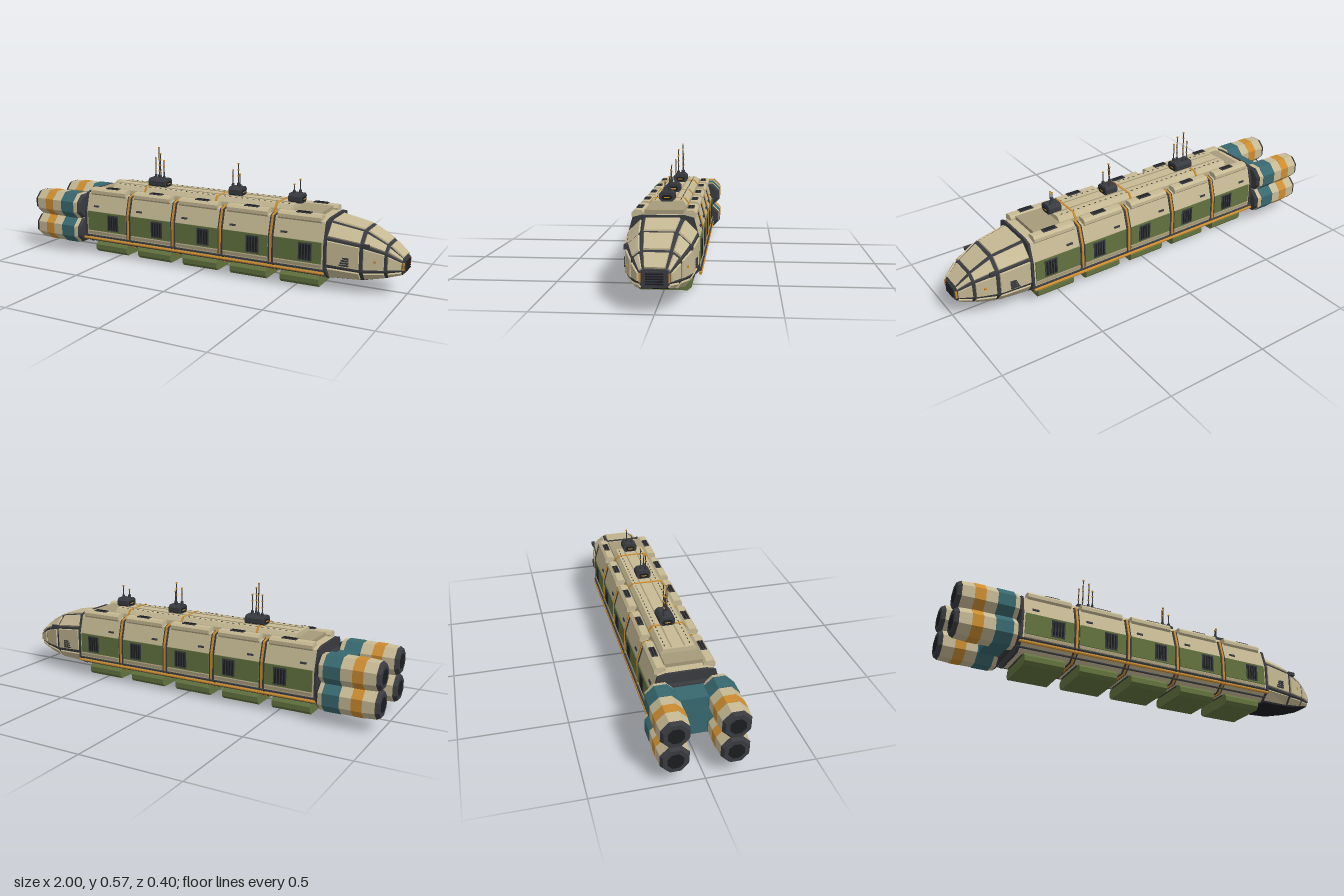
import * as THREE from 'three';

const mat = (color) => new THREE.MeshStandardMaterial({ color, flatShading: true });
const CREAM = mat(0xc6b994), TAN = mat(0xa69a7a), GREEN = mat(0x62723f), DARK = mat(0x393b40),
  BLACK = mat(0x1c1d20), ORANGE = mat(0xcc8c30), TEAL = mat(0x386870);

function add(parent, name, geometry, material, x = 0, y = 0, z = 0) {
  const mesh = new THREE.Mesh(geometry, material);
  mesh.name = name;
  mesh.position.set(x, y, z);
  parent.add(mesh);
  return mesh;
}
const box = (p, name, m, sx, sy, sz, x, y, z) => add(p, name, new THREE.BoxGeometry(sx, sy, sz), m, x, y, z);

function group(parent, name) {
  const g = new THREE.Group();
  g.name = name;
  parent.add(g);
  return g;
}

// Extrude a (z, y) outline along x from x0 to x1
function prism(p, name, m, pts, x0, x1, z = 0) {
  const shape = new THREE.Shape(pts.map(([a, b]) => new THREE.Vector2(-a, b)));
  const geo = new THREE.ExtrudeGeometry(shape, { depth: x1 - x0, bevelEnabled: false });
  geo.rotateY(Math.PI / 2);
  return add(p, name, geo, m, x0, 0, z);
}
// Mirror a half outline, listed bottom to top, across z = 0
const mirror = (half) => [...half, ...half.map(([z, y]) => [-z, y]).reverse()];
const grow = (pts, s, cy) => pts.map(([z, y]) => [z * s, cy + (y - cy) * s]);
// Box outline with cut corners
const chamfer = (w, y0, y1, c) => mirror([[w - c, y0], [w, y0 + c], [w, y1 - c], [w - c, y1]]);

function meshFromQuads(quads) {
  const pos = [];
  for (const [a, b, c, d] of quads) for (const v of [a, b, c, a, c, d]) pos.push(v.x, v.y, v.z);
  const geo = new THREE.BufferGeometry();
  geo.setAttribute('position', new THREE.Float32BufferAttribute(pos, 3));
  geo.computeVertexNormals();
  return geo;
}

// Raised plate sitting inside a quad
function plate([a, b, c, d], margin, thick) {
  const normal = b.clone().sub(a).cross(d.clone().sub(a)).normalize();
  const inset = (m, h) => {
    const u = Math.min(0.35, m / ((a.distanceTo(b) + c.distanceTo(d)) / 2));
    const v = Math.min(0.35, m / ((a.distanceTo(d) + b.distanceTo(c)) / 2));
    return [[u, v], [1 - u, v], [1 - u, 1 - v], [u, 1 - v]].map(([s, t]) =>
      a.clone().lerp(b, s).lerp(d.clone().lerp(c, s), t).addScaledVector(normal, h));
  };
  const low = inset(margin, -0.002), top = inset(margin + 0.003, thick);
  return meshFromQuads([top, ...low.map((p, i) => [p, low[(i + 1) % 4], top[(i + 1) % 4], top[i]])]);
}

const PITCH = 0.268, START = -0.69, END = 0.65;
const HULL = mirror([[0.1, 0.055], [0.153, 0.1], [0.153, 0.232], [0.128, 0.322], [0.09, 0.332]]);

function buildHull(root) {
  const hull = group(root, 'hull');
  prism(hull, 'hullBody', CREAM, HULL, START, END);
  for (let i = 0; i < 5; i++) {
    const x0 = START + i * PITCH, mid = x0 + PITCH / 2;
    const seg = group(hull, 'hullSegment');
    prism(seg, 'bellyPod', GREEN, chamfer(0.12, 0, 0.056, 0.016), mid - 0.1, mid + 0.095);
    box(seg, 'bellyPlate', DARK, 0.21, 0.01, 0.18, mid, 0.055, 0);
    for (const s of [1, -1]) {
      box(seg, 'sidePanel', GREEN, PITCH - 0.03, 0.102, 0.008, mid, 0.18, s * 0.154);
      box(seg, 'sideSill', TAN, PITCH - 0.03, 0.014, 0.01, mid, 0.117, s * 0.154);
      // Slatted window
      box(seg, 'windowFrame', DARK, 0.066, 0.084, 0.006, mid + 0.04, 0.18, s * 0.158);
      for (let k = 0; k < 4; k++)
        box(seg, 'windowSlat', BLACK, 0.008, 0.07, 0.004, mid + 0.018 + k * 0.0145, 0.18, s * 0.161);
      const slot = box(seg, 'sideSlot', DARK, 0.032, 0.01, 0.006, mid - 0.07, 0.258, s * 0.147);
      slot.rotation.x = -s * 0.27;
      // Roof pod with a vent on top
      prism(seg, 'roofPod', CREAM, chamfer(0.027, 0.313, 0.353, 0.012), mid - 0.108, mid + 0.108, s * 0.112);
      box(seg, 'roofVent', DARK, 0.072, 0.006, 0.028, mid + 0.015, 0.354, s * 0.112);
      for (let k = 0; k < 2; k++)
        box(seg, 'roofVentSlat', BLACK, 0.06, 0.004, 0.006, mid + 0.015, 0.357, s * 0.112 + (k - 0.5) * 0.012);
    }
  }
  // Ribs between segments
  for (let i = 0; i <= 5; i++) {
    const x = START + i * PITCH, end = i === 0 || i === 5;
    prism(hull, 'rib', DARK, grow(HULL, 1.025, 0.19), x - (end ? 0.006 : 0.013), x + (end ? 0.006 : 0.013));
    if (!end) prism(hull, 'ribBand', ORANGE, grow(HULL, 1.05, 0.19), x - 0.005, x + 0.005);
  }
  // Pipes along the lower edges
  for (const s of [1, -1]) {
    for (const [y, z, r, m] of [[0.086, 0.16, 0.007, ORANGE], [0.101, 0.16, 0.005, DARK], [0.07, 0.13, 0.005, DARK]]) {
      const pipe = add(hull, 'sidePipe', new THREE.CylinderGeometry(r, r, 1.35, 8), m, -0.025, y, s * z);
      pipe.rotation.z = Math.PI / 2;
    }
  }
}

function buildSpine(root) {
  const spine = group(root, 'spine');
  const outline = mirror([[0.093, 0.325], [0.085, 0.352], [0.07, 0.372]]);
  prism(spine, 'spineBase', TAN, mirror([[0.1, 0.325], [0.085, 0.35]]), -0.64, 0.6);
  prism(spine, 'spineRoof', CREAM, outline, -0.56, 0.46);
  for (const x of [-0.36, 0.055, 0.375])
    prism(spine, 'spineBand', ORANGE, grow(outline, 1.05, 0.32), x - 0.005, x + 0.005);
  for (const s of [1, -1]) {
    box(spine, 'spineSeam', TAN, 1.0, 0.003, 0.005, -0.05, 0.373, s * 0.03);
    for (let i = 0; i < 32; i++)
      box(spine, 'spineStud', DARK, 0.01, 0.004, 0.004, -0.53 + i * 0.031, 0.372, s * 0.058);
  }
  // Antenna clusters: centre, base length, [x, top, z] masts
  const clusters = [
    [-0.32, 0.1, [[-0.352, 0.52, -0.012], [-0.33, 0.574, -0.01], [-0.308, 0.547, 0.012], [-0.287, 0.512, 0.012]]],
    [0.131, 0.066, [[0.112, 0.5, 0.012], [0.131, 0.53, -0.01], [0.15, 0.482, 0.012]]],
    [0.45, 0.066, [[0.438, 0.46, 0.012], [0.46, 0.482, -0.01]]],
  ];
  for (const [cx, len, masts] of clusters) {
    const g = group(spine, 'antennaCluster');
    prism(g, 'antennaBase', DARK, chamfer(0.036, 0.37, 0.415, 0.012), cx - len / 2, cx + len / 2);
    for (const s of [1, -1]) {
      prism(g, 'baseCap', BLACK, chamfer(0.024, 0.378, 0.4, 0.008), cx + s * len / 2 - 0.003, cx + s * len / 2 + 0.003);
      box(g, 'baseLight', ORANGE, 0.003, 0.005, 0.026, cx + s * (len / 2 + 0.003), 0.389, 0);
    }
    for (const [x, top, z] of masts) {
      add(g, 'mastFoot', new THREE.CylinderGeometry(0.007, 0.008, 0.02, 8), DARK, x, 0.42, z);
      add(g, 'mast', new THREE.CylinderGeometry(0.0022, 0.003, top - 0.41, 6), DARK, x, (top + 0.41) / 2, z);
      for (let y = top - 0.003; y > 0.45; y -= 0.03)
        box(g, 'mastBead', ORANGE, 0.007, 0.007, 0.007, x, y, z);
    }
  }
}

function buildNose(root) {
  const nose = group(root, 'nose');
  // x, then top, shoulder, lower side and bottom corners as y, z pairs
  const stations = [
    [0.65, 0.322, 0.085, 0.255, 0.152, 0.122, 0.15, 0.055, 0.1],
    [0.815, 0.292, 0.072, 0.235, 0.134, 0.112, 0.132, 0.062, 0.09],
    [0.92, 0.233, 0.06, 0.203, 0.098, 0.118, 0.098, 0.083, 0.068],
    [0.988, 0.174, 0.046, 0.162, 0.06, 0.123, 0.06, 0.103, 0.046],
  ];
  const rings = stations.map(([x, ...v]) => {
    const half = [0, 2, 4, 6].map((i) => new THREE.Vector3(x, v[i], v[i + 1]));
    return [...half, ...half.map((p) => new THREE.Vector3(p.x, p.y, -p.z)).reverse()];
  });
  const shell = [], belly = [];
  for (let r = 0; r < 3; r++) {
    for (let i = 0; i < 8; i++) {
      const j = (i + 1) % 8;
      const quad = [rings[r][i], rings[r][j], rings[r + 1][j], rings[r + 1][i]];
      (i === 3 ? belly : shell).push(quad);
      if (i !== 3) add(nose, 'nosePlate', plate(quad, r === 2 ? 0.006 : 0.008, 0.007), CREAM);
    }
  }
  const t = rings[3];
  shell.push([t[7], t[0], t[1], t[6]], [t[6], t[1], t[2], t[5]], [t[5], t[2], t[3], t[4]]);
  add(nose, 'noseShell', meshFromQuads(shell), DARK);
  add(nose, 'noseBelly', meshFromQuads(belly), BLACK);
  // Grille and lamps at the tip
  box(nose, 'tipGrille', DARK, 0.012, 0.06, 0.09, 0.988, 0.14, 0);
  for (let k = 0; k < 5; k++) box(nose, 'tipSlat', BLACK, 0.006, 0.005, 0.07, 0.997, 0.12 + k * 0.01, 0);
  for (const s of [1, -1]) {
    box(nose, 'tipLamp', ORANGE, 0.012, 0.036, 0.007, 0.988, 0.143, s * 0.058);
    // Stepped side vent
    for (let k = 0; k < 4; k++)
      box(nose, 'sideVent', DARK, 0.044 - k * 0.005, 0.007, 0.008, 0.74 + k * 0.0025, 0.137 + k * 0.011, s * 0.149);
    box(nose, 'sideSensor', DARK, 0.04, 0.018, 0.016, 0.832, 0.235, s * 0.132);
    box(nose, 'sideMarker', ORANGE, 0.01, 0.01, 0.006, 0.875, 0.165, s * 0.122);
  }
}

function buildEngines(root) {
  const K = 1 / Math.cos(Math.PI / 8);
  // x start, x end, apothem at start and end, material
  const bands = [
    [-1, -0.982, 0.054, 0.064, DARK], [-0.982, -0.925, 0.063, 0.067, CREAM],
    [-0.925, -0.875, 0.068, 0.068, ORANGE], [-0.875, -0.82, 0.067, 0.067, CREAM],
    [-0.82, -0.74, 0.069, 0.069, TEAL], [-0.74, -0.718, 0.067, 0.064, CREAM], [-0.718, -0.704, 0.064, 0.052, DARK],
  ];
  for (const y of [0.25, 0.12]) for (const s of [1, -1]) {
    const e = group(root, 'engine');
    e.position.set(0, y, s * 0.131);
    for (const [x0, x1, r0, r1, m] of bands) {
      const geo = new THREE.CylinderGeometry(r1 * K, r0 * K, x1 - x0, 8);
      geo.rotateY(Math.PI / 8).rotateZ(-Math.PI / 2);
      add(e, 'engineBand', geo, m, (x0 + x1) / 2);
    }
    const nozzle = new THREE.CylinderGeometry(0.038, 0.038, 0.004, 8).rotateY(Math.PI / 8).rotateZ(Math.PI / 2);
    add(e, 'nozzle', nozzle, BLACK, -0.9995);
  }
  // Mount joining the engines to the hull
  const mount = group(root, 'engineMount');
  box(mount, 'mountBlock', TEAL, 0.1, 0.19, 0.18, -0.765, 0.185, 0);
  box(mount, 'mountCore', DARK, 0.04, 0.2, 0.24, -0.7, 0.185, 0);
}

export function createModel() {
  const root = new THREE.Group();
  root.name = 'spaceship';
  buildHull(root);
  buildSpine(root);
  buildNose(root);
  buildEngines(root);
  return root;
}
